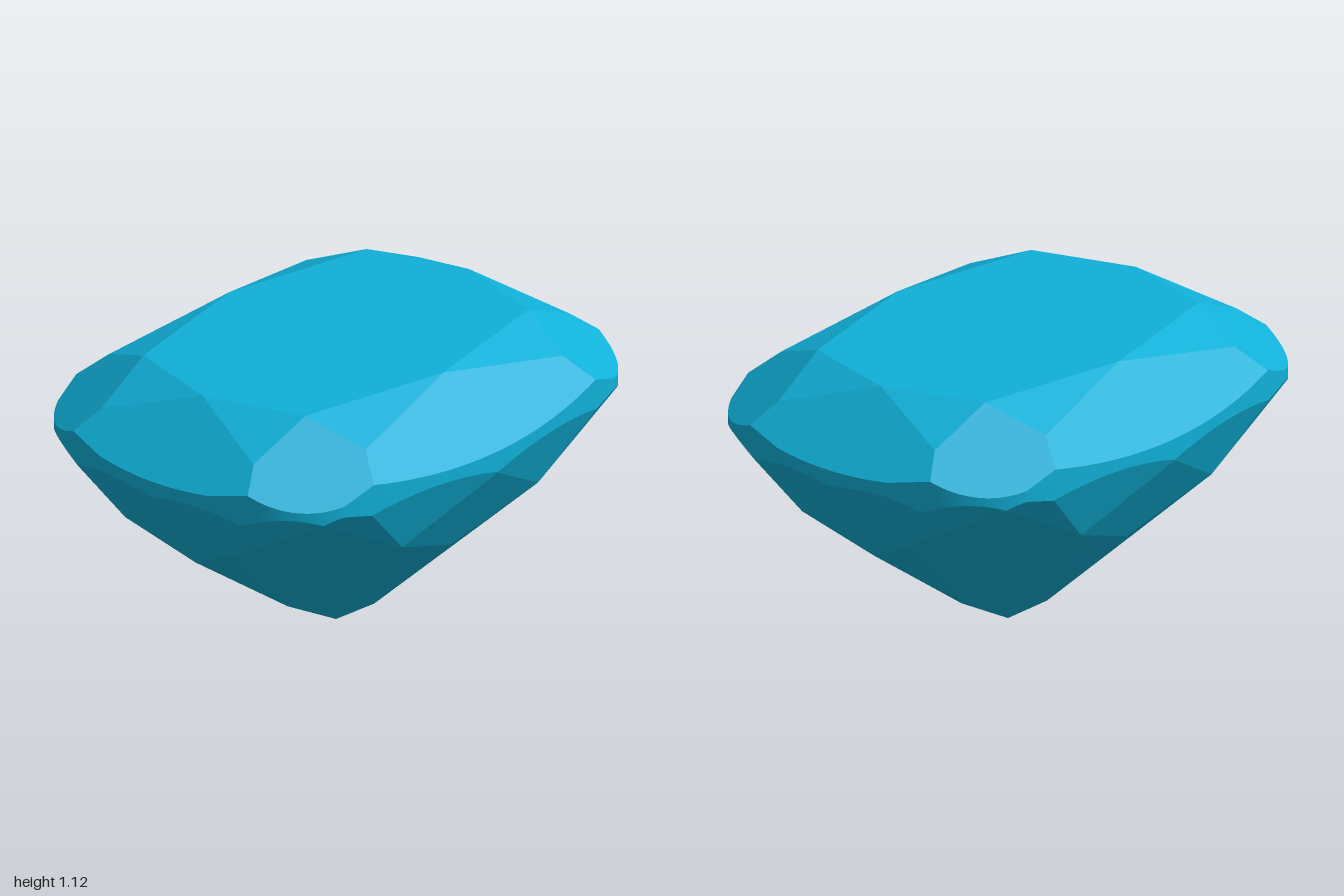
import * as THREE from 'three';
import { toCreasedNormals } from 'three/addons/utils/BufferGeometryUtils.js';

const V = (x, y, z) => new THREE.Vector3(x, y, z);

// Facet planes through three points, mirrored into all four quadrants.
// up is +1 for facets facing upward, -1 for facets facing downward.
function mirroredPlanes(facets, up) {
  const planes = new Map();
  for (const facet of facets) {
    for (const sx of [1, -1]) for (const sz of [1, -1]) {
      const [a, b, c] = facet.map((p) => V(p.x * sx, p.y, p.z * sz));
      const plane = new THREE.Plane().setFromCoplanarPoints(a, b, c);
      if (plane.normal.y * up < 0) plane.negate();
      const key = [...plane.normal.toArray(), plane.constant].map((n) => Math.round(n * 1e5)).join();
      planes.set(key, plane);
    }
  }
  return [...planes.values()];
}

// Upright planes tangent to the cushion outline: shallow side and end arcs, tight corners
function girdlePlanes() {
  const arcs = [ // centre x, centre z, radius, start and end angle in degrees, steps
    [-2.1, 0, 2.87, 0, 12.7, 8],
    [0.314, 0.55, 0.405, 12.7, 77.5, 18],
    [0, -0.9, 1.9, 77.5, 90, 8],
  ];
  const planes = [];
  for (const [cx, cz, r, from, to, steps] of arcs) {
    for (let i = 0; i < steps; i++) {
      const t = THREE.MathUtils.degToRad(from + ((to - from) * (i + 0.5)) / steps);
      const nx = Math.cos(t), nz = Math.sin(t);
      for (const sx of [1, -1]) for (const sz of [1, -1]) {
        planes.push(new THREE.Plane(V(nx * sx, 0, nz * sz), -(cx * nx + cz * nz + r)));
      }
    }
  }
  return planes;
}

// Keep the part of a polygon behind a plane
function clip(poly, plane) {
  const out = [];
  poly.forEach((p, i) => {
    const q = poly[(i + 1) % poly.length];
    const dp = plane.distanceToPoint(p), dq = plane.distanceToPoint(q);
    if (dp <= 1e-9) out.push(p);
    if ((dp < -1e-9 && dq > 1e-9) || (dp > 1e-9 && dq < -1e-9)) {
      out.push(p.clone().lerp(q, dp / (dp - dq)));
    }
  });
  return out;
}

// Cut each plane by all the others, leaving its facet, and join the facets
function cutFacets(planes, allPlanes) {
  const positions = [];
  for (const plane of planes) {
    const n = plane.normal;
    const u = (Math.abs(n.y) > 0.9 ? V(1, 0, 0) : V(0, 1, 0)).cross(n).normalize();
    const v = n.clone().cross(u);
    const centre = n.clone().multiplyScalar(-plane.constant);
    let poly = [[-1, -1], [1, -1], [1, 1], [-1, 1]].map(([a, b]) =>
      centre.clone().addScaledVector(u, a * 4).addScaledVector(v, b * 4));
    for (const other of allPlanes) {
      if (other !== plane && poly.length) poly = clip(poly, other);
    }
    for (let i = 1; i < poly.length - 1; i++) {
      for (const p of [poly[0], poly[i], poly[i + 1]]) positions.push(p.x, p.y, p.z);
    }
  }
  const geometry = new THREE.BufferGeometry();
  geometry.setAttribute('position', new THREE.Float32BufferAttribute(positions, 3));
  geometry.computeVertexNormals();
  return geometry;
}

export function createModel() {
  // Crown corners: table octagon, then the star facet tips
  const tableSide = V(0.51, 1.125, 0), tableCorner = V(0.385, 1.125, 0.6), tableEnd = V(0, 1.125, 0.715);
  const starSide = V(0.61, 1.037, 0.53), starEnd = V(0.36, 1.014, 0.85);
  const crown = mirroredPlanes([
    [tableSide, tableCorner, tableEnd], // table
    [tableSide, tableCorner, starSide], // side stars
    [tableEnd, tableCorner, starEnd], // end stars
    [tableCorner, starSide, starEnd], // corner bezels
    [tableSide, starSide, V(0.61, 1.037, -0.53)], // side bezels
    [tableEnd, starEnd, V(-0.36, 1.014, 0.85)], // end bezels
  ], 1);

  // Pavilion corners: the four main facets meet at the culet
  const onMain = (x, z) => V(x, 0.64 * x + 0.54 * z, z);
  const culet = V(0, 0, 0);
  const keelSide = onMain(0.18, 0), keelEnd = onMain(0, 0.26);
  const kiteSide = V(0.545, 0.46, 0), kiteEnd = V(0, 0.485, 0.755);
  const nodeSide = onMain(0.637, 0.365), nodeEnd = onMain(0.25, 0.85);
  const corner = onMain(0.64, 0.79);
  const rimSide = V(0.705, 0.83, 0.6), rimEnd = V(0.4, 0.83, 0.957);
  const pavilion = mirroredPlanes([
    [culet, keelSide, keelEnd], // corner mains
    [keelSide, kiteSide, nodeSide], // long side facets
    [keelEnd, kiteEnd, nodeEnd], // long end facets
    [kiteSide, nodeSide, V(nodeSide.x, nodeSide.y, -nodeSide.z)], // side kites
    [kiteEnd, nodeEnd, V(-nodeEnd.x, nodeEnd.y, nodeEnd.z)], // end kites
    [V(0.77, 0.815, 0), nodeSide, rimSide], // side lower halves
    [V(0, 0.83, 1), nodeEnd, rimEnd], // end lower halves
    [nodeSide, rimSide, corner], // corner lower halves
    [nodeEnd, rimEnd, corner],
  ], -1);

  const girdle = girdlePlanes();
  const all = [...crown, ...girdle, ...pavilion];
  const faceted = new THREE.MeshStandardMaterial({ color: 0x10b0d8, flatShading: true });
  const smooth = new THREE.MeshStandardMaterial({ color: 0x10b0d8 });

  const gem = new THREE.Group();
  gem.name = 'cushionCutGem';
  const add = (name, geometry, material) => {
    const mesh = new THREE.Mesh(geometry, material);
    mesh.name = name;
    gem.add(mesh);
  };
  add('crown', cutFacets(crown, all), faceted);
  add('girdle', toCreasedNormals(cutFacets(girdle, all), 0.5), smooth);
  add('pavilion', cutFacets(pavilion, all), faceted);
  return gem;
}
